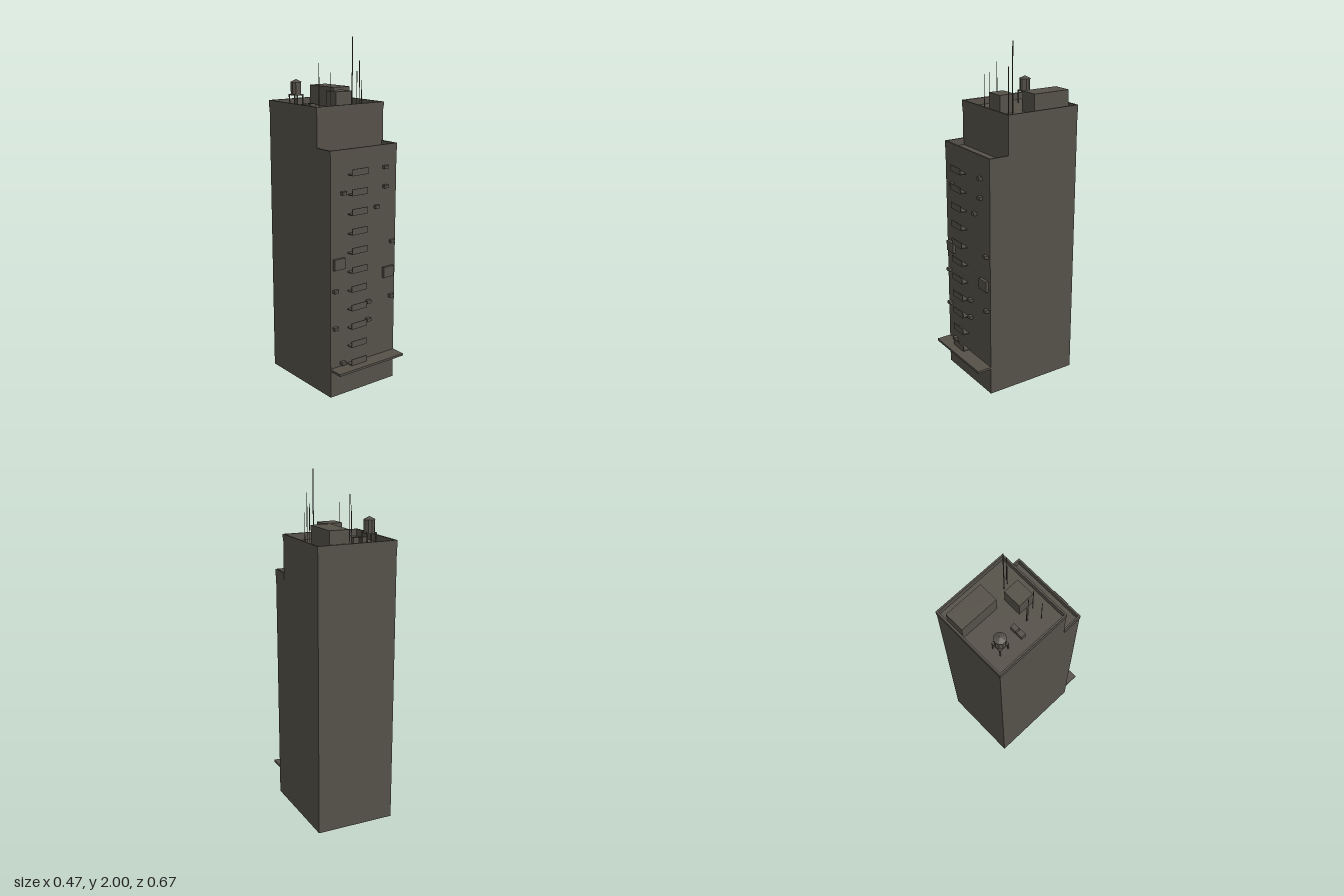
import * as THREE from 'three';

export function createModel() {
  const model = new THREE.Group();
  model.name = 'apartmentTower';
  const concrete = new THREE.MeshStandardMaterial({ color: 0x555149 });
  concrete.name = 'darkConcrete';
  concrete.flatShading = true;

  const add = (name, geometry, parent = model) => {
    const mesh = new THREE.Mesh(geometry, concrete);
    mesh.name = name;
    parent.add(mesh);
    return mesh;
  };
  // Box given by its lower and upper limits on each axis
  const box = (name, x0, x1, y0, y1, z0, z1, parent = model) => {
    const mesh = add(name, new THREE.BoxGeometry(x1 - x0, y1 - y0, z1 - z0), parent);
    mesh.position.set((x0 + x1) / 2, (y0 + y1) / 2, (z0 + z1) / 2);
    return mesh;
  };
  const W = 0.233, P = 0.235, BACK = -0.335, ROOF = 1.6, TOP = 1.64;

  // Main block with a stepped-back upper storey
  box('lowerBlock', -W, W, 0, 1.38, BACK + 0.002, 0.247);
  box('upperBlock', -W, W, 1.38, ROOF, BACK + 0.002, 0.128);

  // Parapets around the main roof and the terrace
  const t = 0.01;
  for (const s of [-1, 1]) {
    const a = s < 0 ? -P : P - t;
    box('roofParapetSide', a, a + t, ROOF, TOP, BACK, 0.13);
    box('terraceParapetSide', a, a + t, 1.38, 1.42, 0.128, 0.249);
  }
  box('roofParapetBack', -P + t, P - t, ROOF, TOP, BACK, BACK + t);
  box('roofParapetFront', -P + t, P - t, ROOF, TOP, 0.13 - t, 0.13);
  box('terraceParapetFront', -P + t, P - t, 1.38, 1.42, 0.249 - t, 0.249);

  // Entrance canopy
  box('canopy', -P, P, 0.163, 0.176, 0.247, 0.335);

  // Column of balconies: a slab and a front panel each
  for (let i = 0; i < 11; i++) {
    const balcony = new THREE.Group();
    balcony.name = 'balcony';
    balcony.position.y = 0.177 + i * 0.11;
    box('balconySlab', -0.114, -0.006, 0, 0.005, 0.247, 0.287, balcony);
    box('balconyRail', -0.114, -0.006, 0, 0.037, 0.284, 0.288, balcony);
    model.add(balcony);
  }

  // Air conditioners on the front wall
  const units = [
    [0.147, 1.293], [0.147, 1.183], [-0.151, 1.183], [0.085, 1.075],
    [0.201, 0.855], [-0.204, 0.634], [0.201, 0.525], [0.03, 0.525],
    [0.03, 0.415], [-0.204, 0.415], [-0.151, 0.194],
  ];
  for (const [x, y] of units) {
    box('airConditioner', x - 0.0145, x + 0.0145, y - 0.009, y + 0.009, 0.247, 0.268);
  }
  // Larger wall panels
  box('wallPanel', -0.217, -0.142, 0.757, 0.819, 0.247, 0.264);
  box('wallPanel', 0.138, 0.213, 0.645, 0.708, 0.247, 0.264);

  // Rooftop housings
  box('machineRoom', 0.046, 0.162, ROOF, 1.714, -0.323, -0.09);
  box('stairHouse', -0.055, 0.054, ROOF, 1.706, -0.03, 0.064);
  for (const x of [-0.144, -0.1]) {
    box('roofVent', x - 0.018, x + 0.018, ROOF, 1.632, -0.118, -0.09);
  }

  // Water tank on a legged stand
  const tank = new THREE.Group();
  tank.name = 'waterTank';
  tank.position.set(-0.122, 0, -0.225);
  box('tankPlatform', -0.031, 0.031, 1.67, 1.676, -0.031, 0.031, tank);
  for (const x of [-0.027, 0.027]) {
    for (const z of [-0.027, 0.027]) {
      box('tankLeg', x - 0.003, x + 0.003, ROOF, 1.67, z - 0.003, z + 0.003, tank);
    }
  }
  add('tankBarrel', new THREE.CylinderGeometry(0.031, 0.031, 0.068, 10), tank).position.y = 1.71;
  add('tankRoof', new THREE.ConeGeometry(0.034, 0.017, 10), tank).position.y = 1.7525;
  model.add(tank);

  // Antennas: x, z, top, radius
  const antennas = [
    [0.1, 0.012, 2, 0.003], [0.12, 0.052, 1.87, 0.002], [0.109, 0.043, 1.81, 0.002],
    [0.131, 0.058, 1.76, 0.002], [-0.148, 0.035, 1.79, 0.002], [-0.078, 0.043, 1.81, 0.002],
    [-0.108, -0.022, 1.86, 0.002], [-0.105, -0.028, 1.77, 0.002],
  ];
  for (const [x, z, top, r] of antennas) {
    const h = top - ROOF;
    add('antenna', new THREE.CylinderGeometry(r, r, h, 5)).position.set(x, ROOF + h / 2, z);
  }
  return model;
}
